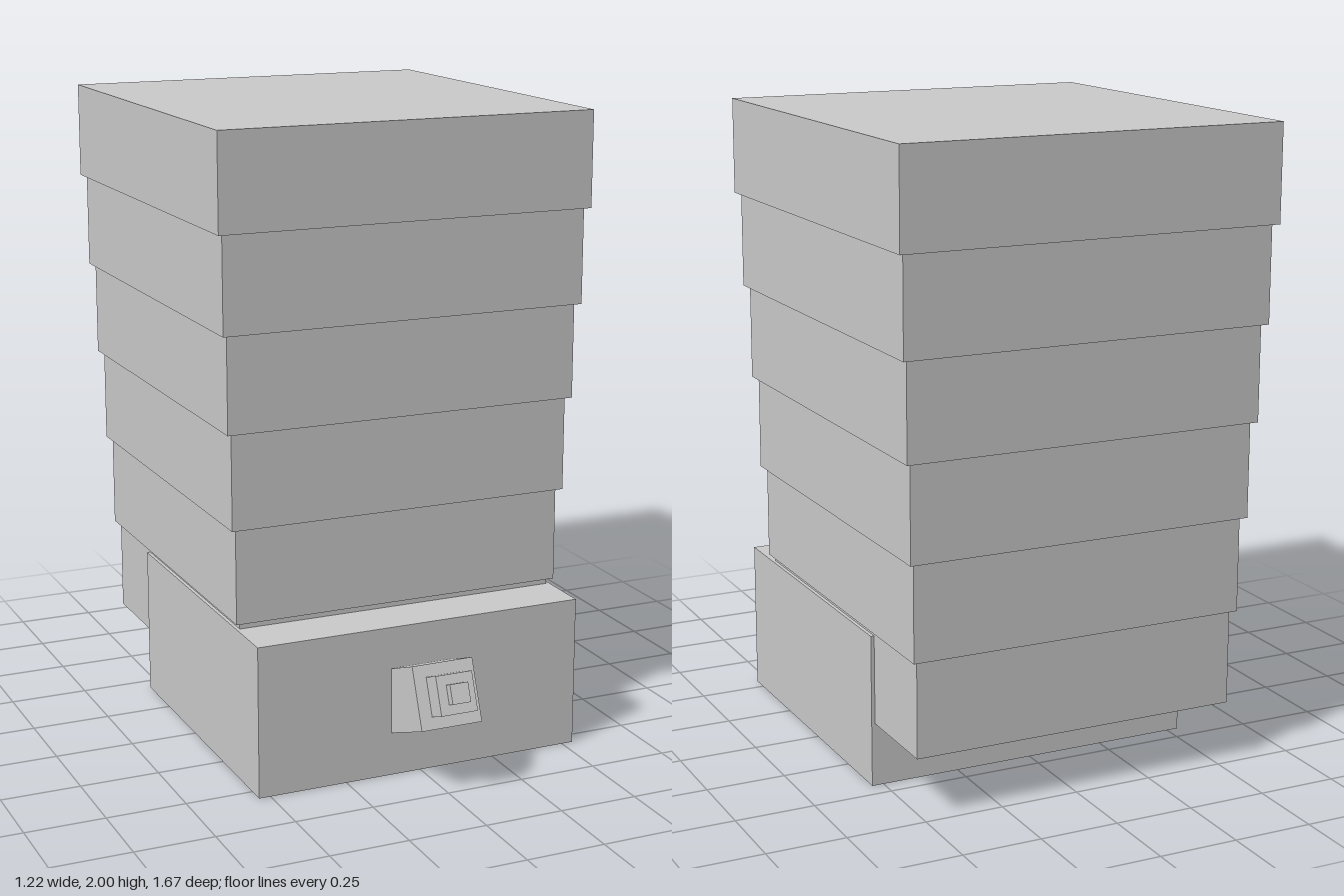
import * as THREE from 'three';

export function createModel() {
  const model = new THREE.Group();
  model.name = 'tieredTower';
  const grey = new THREE.MeshStandardMaterial({ color: 0xcccccc });
  grey.name = 'grey';

  // Box given by its half width and its y and z extents
  function block(name, halfW, y0, y1, z0, z1, parent = model) {
    const mesh = new THREE.Mesh(new THREE.BoxGeometry(halfW * 2, y1 - y0, z1 - z0), grey);
    mesh.position.set(0, (y0 + y1) / 2, (z0 + z1) / 2);
    mesh.name = name;
    parent.add(mesh);
  }

  // Base block
  block('base', 0.537, 0, 0.48, -0.44, 0.555);

  // Six stacked tiers, each slightly larger than the one below
  for (let i = 0; i < 6; i++) {
    const y = 0.2 + i * 0.3;
    block('tier' + (i + 1), 0.526 + i * 0.0163, y, y + 0.3, -0.748 - i * 0.0172, 0.382 + i * 0.0164);
  }

  // Stepped nozzle tilted upwards, its root sunk into the base
  const nozzle = new THREE.Group();
  nozzle.name = 'nozzle';
  nozzle.position.set(0, 0.313, 0.734);
  nozzle.rotation.x = THREE.MathUtils.degToRad(-21.5);
  block('nozzleBody', 0.1, -0.0975, 0.0975, -0.3, 0, nozzle);
  block('nozzleNeck', 0.06, -0.06, 0.06, 0, 0.068, nozzle);
  block('nozzleTip', 0.03, -0.03, 0.03, 0.068, 0.094, nozzle);
  model.add(nozzle);

  return model;
}
